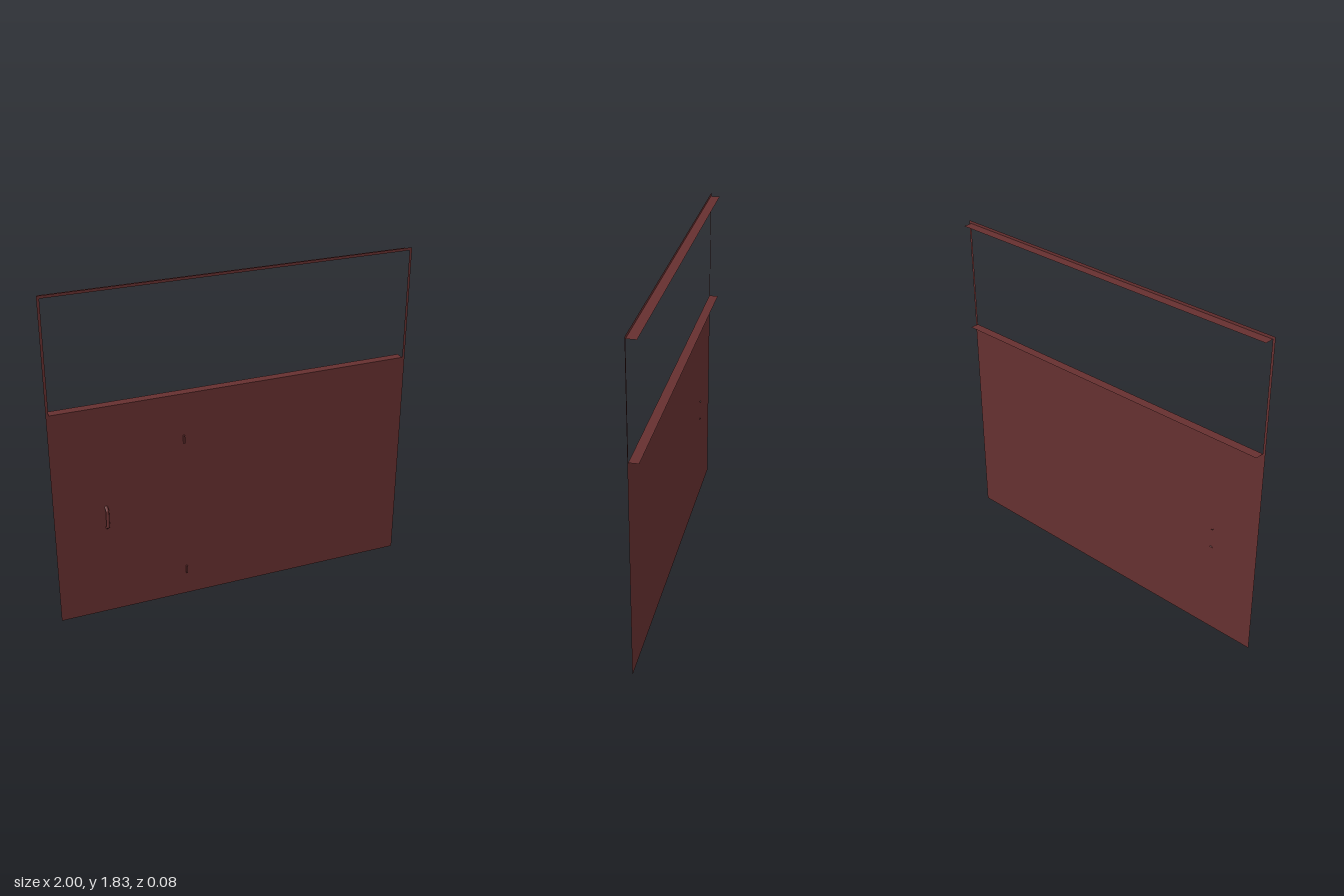
import * as THREE from 'three';

export function createModel() {
  const model = new THREE.Group();
  const maroon = new THREE.MeshStandardMaterial({ color: 0x663030, side: THREE.DoubleSide });
  maroon.name = 'maroon';

  const FRONT = 0.01, BACK = -0.04;      // depth range of the wall skin and ledges
  const SILL = 1.21, HEAD = 1.815, TOP = 1.83, INNER = 0.986;

  const add = (name, geometry, x = 0, y = 0, z = 0) => {
    const mesh = new THREE.Mesh(geometry, maroon);
    mesh.name = name;
    mesh.position.set(x, y, z);
    model.add(mesh);
    return mesh;
  };

  // Thin front skin with the wide window opening
  const skin = new THREE.Shape();
  skin.moveTo(-1, 0).lineTo(1, 0).lineTo(1, TOP).lineTo(-1, TOP).closePath();
  const opening = new THREE.Path();
  opening.moveTo(-INNER, SILL).lineTo(-INNER, HEAD).lineTo(INNER, HEAD).lineTo(INNER, SILL).closePath();
  skin.holes.push(opening);
  add('frontPanel', new THREE.ShapeGeometry(skin), 0, 0, FRONT);

  // Ledges running back from the lower and upper edge of the opening
  for (const [name, y] of [['windowSill', SILL], ['windowHead', HEAD]]) {
    const ledge = new THREE.PlaneGeometry(2 * INNER, FRONT - BACK);
    ledge.rotateX(-Math.PI / 2);
    add(name, ledge, 0, y, (FRONT + BACK) / 2);
  }

  // Door handle: a bar with slanted ends
  const points = [[0.518, FRONT], [0.533, 0.031], [0.627, 0.031], [0.642, FRONT]]
    .map(([y, z]) => new THREE.Vector3(0, y, z));
  const path = new THREE.CurvePath();
  for (let i = 0; i < 3; i++) path.add(new THREE.LineCurve3(points[i], points[i + 1]));
  add('doorHandle', new THREE.TubeGeometry(path, 24, 0.009, 8), -0.722);

  // Small hinges
  for (const y of [0.156, 0.953]) {
    add('hinge', new THREE.BoxGeometry(0.008, 0.045, 0.01), -0.287, y, FRONT + 0.005);
  }

  return model;
}
